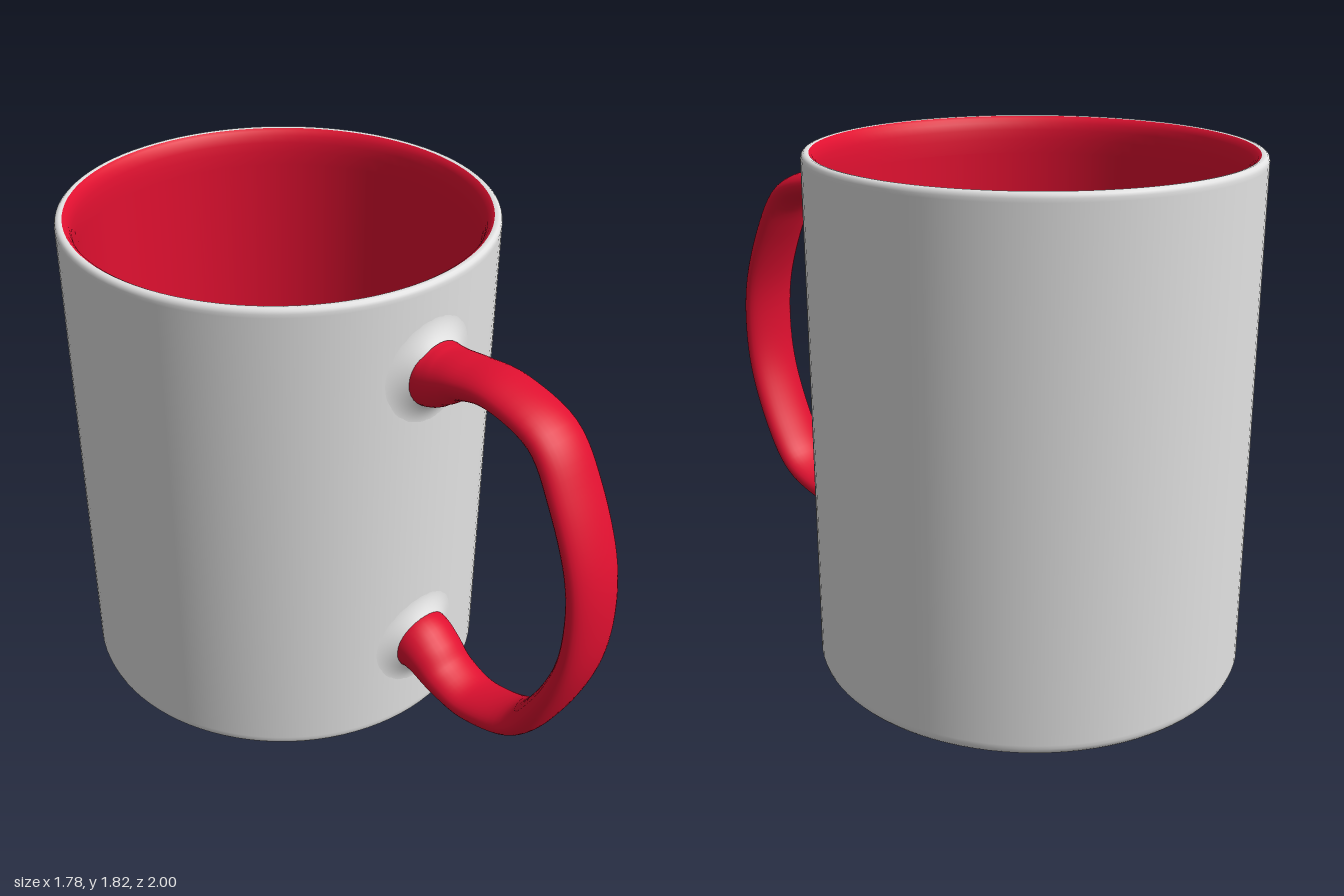
import * as THREE from 'three';

const CX = -0.13, CZ = -0.24, R = 0.76;   // mug axis and outer radius
const white = new THREE.MeshStandardMaterial({ color: 0xe2e2e2 });
white.name = 'white glaze';
const red = new THREE.MeshStandardMaterial({ color: 0xe01030 });
red.name = 'red glaze';

function mesh(name, geometry, material) {
  const m = new THREE.Mesh(geometry, material);
  m.name = name;
  return m;
}

const lathe = (pts) => new THREE.LatheGeometry(pts.map(([x, y]) => new THREE.Vector2(x, y)), 96);

// Skin over closed rings; point(u, a) returns [x, y, z], u in 0..1, a in 0..2PI
function loft(point, rows, sides) {
  const pos = [], index = [];
  for (let i = 0; i <= rows; i++) {
    for (let j = 0; j < sides; j++) {
      pos.push(...point(i / rows, (j / sides) * Math.PI * 2));
      if (i === rows) continue;
      const k = (j + 1) % sides;
      const a = i * sides + j, b = i * sides + k;
      index.push(a, b, a + sides, b, b + sides, a + sides);
    }
  }
  const g = new THREE.BufferGeometry();
  g.setAttribute('position', new THREE.Float32BufferAttribute(pos, 3));
  g.setIndex(index);
  g.computeVertexNormals();
  return g;
}

// Handle stations: distance from axis, height, half thickness, half width
const stations = [
  [0.70, 1.50, 0.118, 0.12], [0.78, 1.50, 0.115, 0.12], [0.84, 1.515, 0.093, 0.115],
  [0.93, 1.545, 0.066, 0.107], [1.07, 1.56, 0.054, 0.103], [1.26, 1.50, 0.051, 0.105],
  [1.37, 1.34, 0.05, 0.11], [1.46, 1.12, 0.05, 0.11], [1.485, 0.915, 0.05, 0.11],
  [1.46, 0.71, 0.05, 0.11], [1.37, 0.49, 0.05, 0.11], [1.26, 0.34, 0.051, 0.105],
  [1.07, 0.275, 0.054, 0.103], [0.93, 0.30, 0.066, 0.107], [0.84, 0.35, 0.093, 0.115],
  [0.78, 0.37, 0.115, 0.12], [0.70, 0.37, 0.118, 0.12],
];

function handleGeometry() {
  const path = new THREE.CatmullRomCurve3(stations.map((s) => new THREE.Vector3(s[0], s[1], 0)), false, 'catmullrom', 0.5);
  const size = new THREE.CatmullRomCurve3(stations.map((s) => new THREE.Vector3(s[2], s[3], 0)), false, 'catmullrom', 0.5);
  return loft((u, a) => {
    const p = path.getPoint(u), t = path.getTangent(u), s = size.getPoint(u);
    const n = s.x * Math.cos(a);
    return [p.x - t.y * n, p.y + t.x * n, s.y * Math.sin(a)];
  }, 96, 32);
}

// Flared white collar that hugs the cylinder around a handle root
function collarGeometry(y) {
  return loft((u, a) => {
    const k = 0.112 + 0.085 * u;
    const s = k * Math.cos(a);
    const lift = 0.03 * (1 - u) ** 2 - 0.001 * u;
    return [Math.sqrt(R * R - s * s) + lift, y + k * Math.sin(a), s];
  }, 8, 48);
}

export function createModel() {
  const mug = new THREE.Group();
  mug.name = 'mug';
  mug.position.set(CX, 0, CZ);

  // Outer shell: base, rounded foot, wall and half of the rim
  mug.add(mesh('outerShell', lathe([
    [0, 0], [0.72, 0], [0.735, 0.001], [0.748, 0.006], [0.756, 0.015], [R, 0.028], [R, 0.04],
    [R, 1.785], [R, 1.797], [0.757, 1.807], [0.75, 1.813], [0.742, 1.815], [0.733, 1.813],
  ]), white));

  // Inner lining: rim edge, wall, rounded corner and floor
  mug.add(mesh('innerLining', lathe([
    [0.733, 1.813], [0.722, 1.806], [0.711, 1.79], [0.704, 1.765], [0.70, 1.73], [0.698, 1.68],
    [0.69, 0.19], [0.688, 0.16], [0.681, 0.135], [0.668, 0.115], [0.652, 0.104], [0.635, 0.10],
    [0.62, 0.10], [0, 0.10],
  ]), red));

  // Handle with its two collars, turned to the front left
  const handle = new THREE.Group();
  handle.name = 'handleAssembly';
  handle.rotation.y = -Math.atan2(0.78, 0.626);
  handle.add(mesh('handle', handleGeometry(), red));
  handle.add(mesh('upperCollar', collarGeometry(1.50), white));
  handle.add(mesh('lowerCollar', collarGeometry(0.37), white));
  mug.add(handle);

  const model = new THREE.Group();
  model.name = 'model';
  model.add(mug);
  return model;
}
